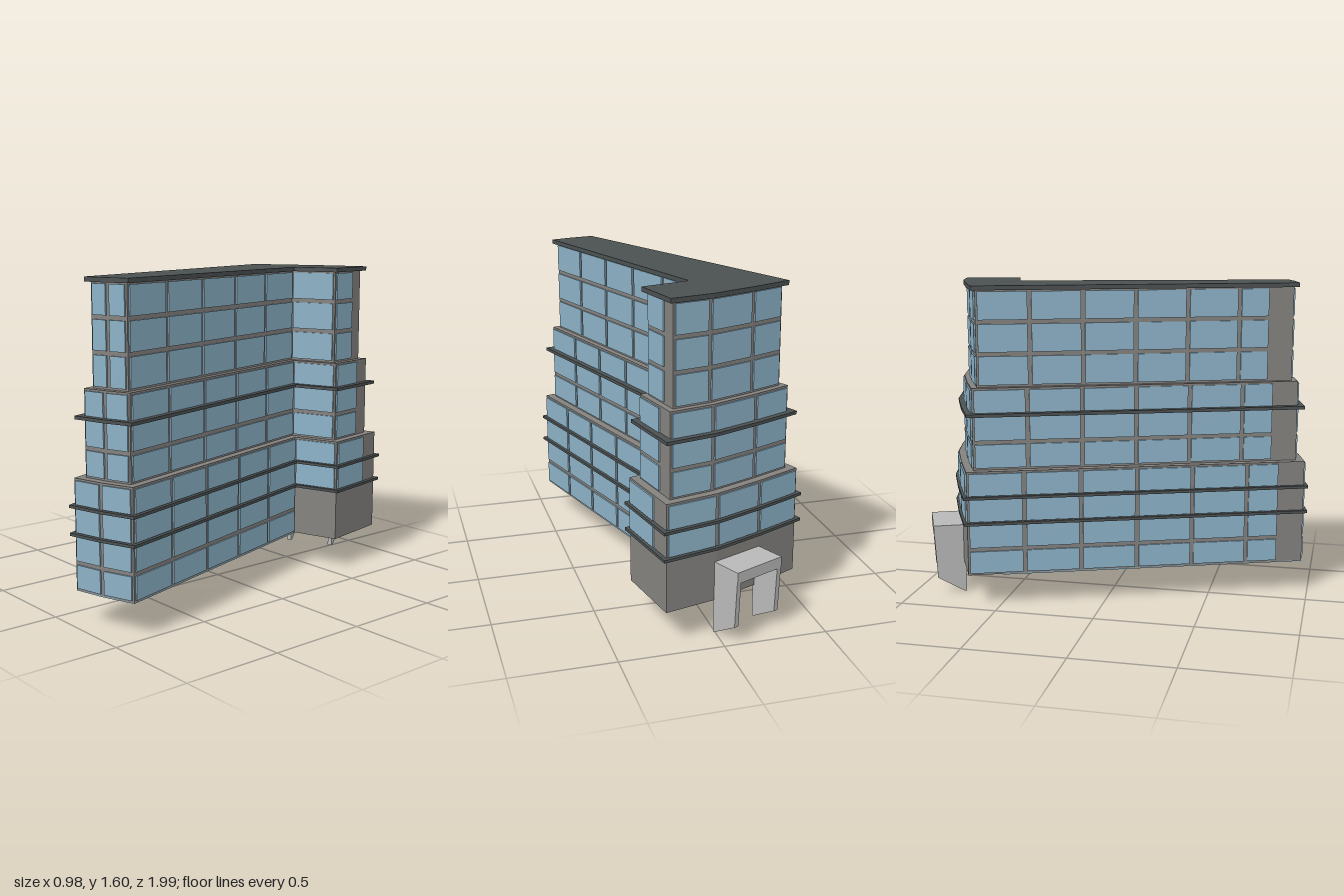
import * as THREE from 'three';
import { mergeGeometries } from 'three/addons/utils/BufferGeometryUtils.js';

const mat = (name, color) => {
  const m = new THREE.MeshStandardMaterial({ color });
  m.name = name;
  return m;
};

// Widest floor outline as [x, z], walked from the back corner of the long west wall
const outline = [
  [-0.497, -0.656], [-0.25, -0.772], [-0.01, -0.873], [0.27, -0.942], [0.349, -0.534],
  [0.111, -0.46], [0.487, 0.884], [0.305, 0.947], [0.127, 0.989],
];

const edgeNormal = (a, b) => {
  const dx = b[0] - a[0], dz = b[1] - a[1], l = Math.hypot(dx, dz);
  return [dz / l, -dx / l];
};

// Mitred inset of the outline
function inset(d) {
  const n = outline.length;
  return outline.map((p, i) => {
    const u = edgeNormal(outline[(i + n - 1) % n], p);
    const v = edgeNormal(p, outline[(i + 1) % n]);
    const k = d / (1 + u[0] * v[0] + u[1] * v[1]);
    return [p[0] - (u[0] + v[0]) * k, p[1] - (u[1] + v[1]) * k];
  });
}

function prism(points, y0, y1) {
  const shape = new THREE.Shape(points.map(([x, z]) => new THREE.Vector2(x, -z)));
  const g = new THREE.ExtrudeGeometry(shape, { depth: y1 - y0, bevelEnabled: false });
  return g.rotateX(-Math.PI / 2).translate(0, y0, 0);
}

const mix = (a, b, t) => [a[0] + (b[0] - a[0]) * t, a[1] + (b[1] - a[1]) * t];

// Window column breaks along each wall, as fractions of its length
const fifths = [0, 0.2, 0.4, 0.6, 0.8, 1];
const columns = [
  [0, 1], [0, 1], [0, 1],                          // bowed back, three bays
  [0.3, 1],                                        // wing end, solid near the back
  [0, 1],                                          // wing face in the notch
  fifths,                                          // long east wall
  [0, 1], [0, 1],                                  // bowed front end, two bays
  [0, 0.165, 0.33, 0.495, 0.66, 0.825, 0.925].map((t) => 1 - t).reverse(), // long west wall
];
const solidBase = new Set([0, 1, 2, 3, 4]); // walls without windows on the two lowest floors

// Thin glass plates for every bay of every floor
function windows(points, rows, solidRows) {
  const gap = 0.02, parts = [];
  points.forEach((a, e) => {
    const b = points[(e + 1) % points.length];
    const n = edgeNormal(a, b), len = Math.hypot(b[0] - a[0], b[1] - a[1]);
    const c = columns[e];
    for (let r = 0; r < rows.length - 1; r++) {
      if (r < solidRows && solidBase.has(e)) continue;
      for (let i = 0; i < c.length - 1; i++) {
        const p = mix(a, b, (c[i] + c[i + 1]) / 2);
        const g = new THREE.BoxGeometry(len * (c[i + 1] - c[i]) - gap, rows[r + 1] - rows[r] - gap, 0.009);
        g.rotateY(Math.atan2(n[0], n[1]));
        g.translate(p[0] + n[0] * 0.003, (rows[r] + rows[r + 1]) / 2, p[1] + n[1] * 0.003);
        parts.push(g);
      }
    }
  });
  return mergeGeometries(parts);
}

export function createModel() {
  const model = new THREE.Group();
  model.name = 'officeBuilding';
  const concrete = mat('concrete grey', 0x84827f);
  const glass = mat('window blue', 0x8cb2c7);
  const dark = mat('roof charcoal', 0x4b5051);
  const pale = mat('canopy light grey', 0xb8b8b8);

  const add = (parent, name, geometry, material) => {
    const m = new THREE.Mesh(geometry, material);
    m.name = name;
    parent.add(m);
    return m;
  };

  // Three stepped tiers, each with its walls and windows
  const tiers = [
    { name: 'lowerTier', d: 0.02, rows: [0.165, 0.297, 0.431, 0.563, 0.695], solid: 2 },
    { name: 'middleTier', d: 0.06, rows: [0.695, 0.833, 0.972, 1.105], solid: 0 },
    { name: 'upperTier', d: 0.09, rows: [1.105, 1.267, 1.425, 1.583], solid: 0 },
  ];
  for (const t of tiers) {
    const group = new THREE.Group();
    group.name = t.name;
    const points = inset(t.d);
    add(group, 'walls', prism(points, t.rows[0], t.rows[t.rows.length - 1]), concrete);
    add(group, 'windows', windows(points, t.rows, t.solid), glass);
    model.add(group);
  }

  // Projecting ledges and the roof slab
  const slabs = [
    ['lowerLedge', 0, 0.424, 0.438], ['secondLedge', 0, 0.556, 0.57],
    ['middleLedge', 0.026, 0.965, 0.981], ['roof', 0.067, 1.58, 1.602],
  ];
  for (const [name, d, y0, y1] of slabs) add(model, name, prism(inset(d), y0, y1), dark);

  // Glazed underside of the long body
  const base = inset(0.02);
  add(model, 'glazedUnderside',
    prism([base[5], base[6], base[7], base[8], mix(base[8], base[0], 0.9)], 0.161, 0.167), glass);

  // Entrance canopy at the back; local z points away from the wall
  const canopy = new THREE.Group();
  canopy.name = 'entranceCanopy';
  canopy.position.set(-0.123, 0, -0.805);
  canopy.rotation.y = Math.atan2(-0.4, -0.917);
  model.add(canopy);
  const width = 0.277, thick = 0.024;
  add(canopy, 'canopyTop', new THREE.BoxGeometry(width, 0.055, 0.17).translate(0, 0.3325, 0.067), pale);

  // Side plates with a slanting foot, drawn as (distance from wall, height)
  const side = new THREE.Shape([[0, 0], [0.137, 0.08], [0.15, 0.31], [-0.01, 0.31], [-0.01, 0]]
    .map(([u, y]) => new THREE.Vector2(u, y)));
  for (const s of [-1, 1]) {
    const g = new THREE.ExtrudeGeometry(side, { depth: thick, bevelEnabled: false });
    g.translate(0, 0, -thick / 2).rotateY(-Math.PI / 2);
    add(canopy, s > 0 ? 'rightLeg' : 'leftLeg', g, pale).position.x = s * (width - thick) / 2;
  }
  return model;
}
